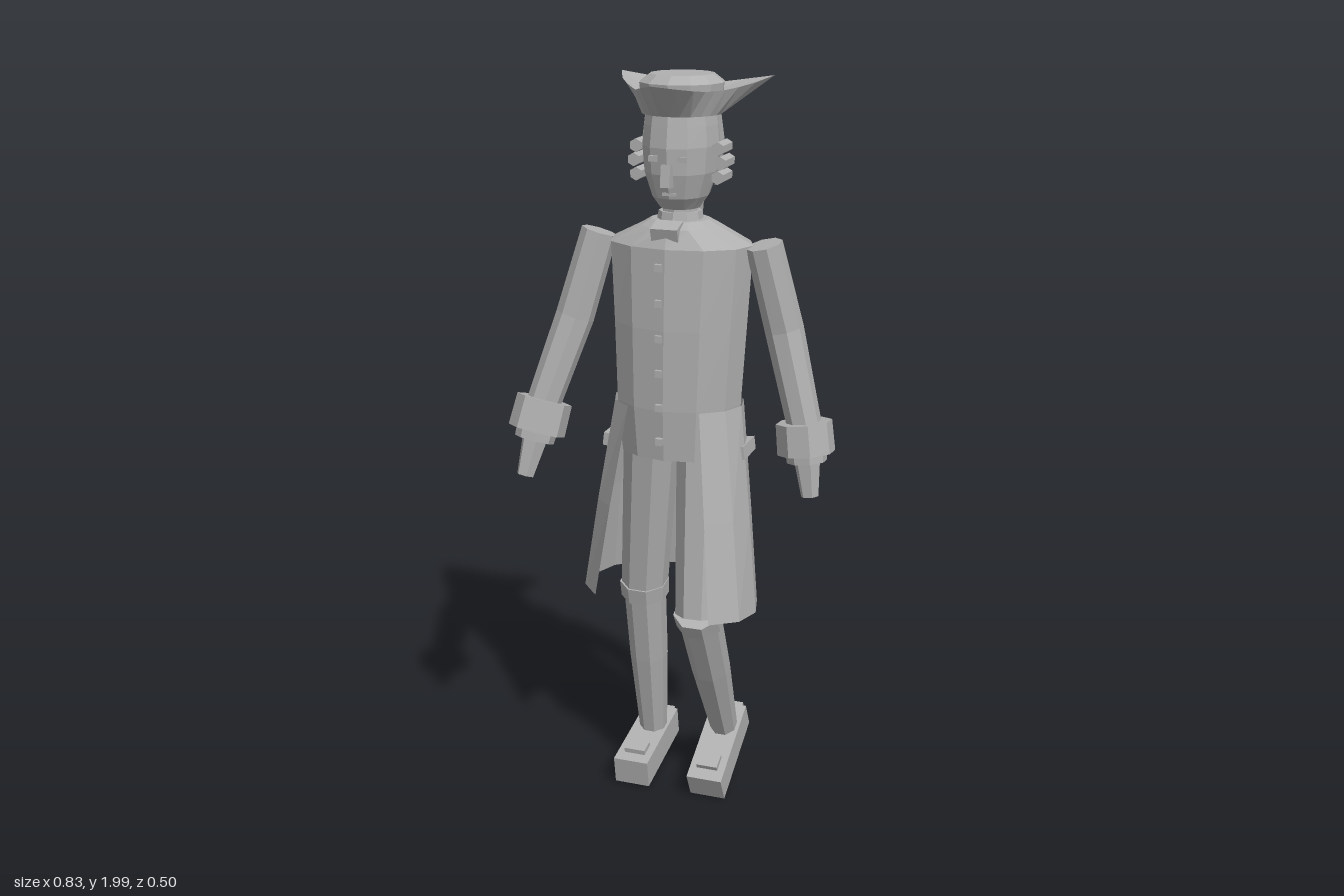
import * as THREE from 'three';

const V = (x, y, z) => new THREE.Vector3(x, y, z);
const grey = new THREE.MeshStandardMaterial({ color: 0xb0b0b0, side: THREE.DoubleSide });
grey.name = 'grey';

// Faceted mesh with one normal per face
function part(name, geometry, parent) {
  const g = geometry.index ? geometry.toNonIndexed() : geometry;
  g.computeVertexNormals();
  const mesh = new THREE.Mesh(g, grey);
  mesh.name = name;
  parent.add(mesh);
  return mesh;
}

function box(name, parent, size, pos, rot = [0, 0, 0]) {
  const mesh = part(name, new THREE.BoxGeometry(...size), parent);
  mesh.position.set(...pos);
  mesh.rotation.set(...rot);
  return mesh;
}

// Skin through cross-sections listed from bottom to top
function loft(rings, closed = true, caps = true) {
  const n = rings[0].length, pos = [], idx = [];
  rings.forEach(r => r.forEach(p => pos.push(p.x, p.y, p.z)));
  for (let i = 0; i < rings.length - 1; i++) {
    for (let j = 0; j < (closed ? n : n - 1); j++) {
      const k = (j + 1) % n, a = i * n, b = a + n;
      idx.push(a + j, a + k, b + k, a + j, b + k, b + j);
    }
  }
  if (caps) {
    const top = (rings.length - 1) * n;
    for (let j = 1; j < n - 1; j++) {
      idx.push(0, j + 1, j, top, top + j, top + j + 1);
    }
  }
  const g = new THREE.BufferGeometry();
  g.setAttribute('position', new THREE.Float32BufferAttribute(pos, 3));
  g.setIndex(idx);
  return g;
}

// Horizontal oval section, or an arc of one
function oval(y, rx, rz, cx, cz, n = 12, from = 0, sweep = Math.PI * 2) {
  const full = sweep > 6.28;
  return Array.from({ length: full ? n : n + 1 }, (_, j) => {
    const a = from + (j / n) * sweep;
    return V(cx + rx * Math.sin(a), y, cz + rz * Math.cos(a));
  });
}

// Tapered, bent limb along points from bottom to top
function limb(points, radii, sides = 8) {
  return loft(points.map((p, i) => {
    const a = points[Math.max(i - 1, 0)], b = points[Math.min(i + 1, points.length - 1)];
    const q = new THREE.Quaternion().setFromUnitVectors(V(0, 1, 0), b.clone().sub(a).normalize());
    return Array.from({ length: sides }, (_, j) => {
      const t = ((j + 0.5) / sides) * Math.PI * 2;
      return V(Math.sin(t) * radii[i], 0, Math.cos(t) * radii[i]).applyQuaternion(q).add(p);
    });
  }));
}

function buildArm(name, shoulder, elbow, wrist, hand, parent) {
  const arm = new THREE.Group();
  arm.name = name;
  parent.add(arm);
  part('sleeve', limb([wrist, elbow, shoulder], [0.045, 0.05, 0.047]), arm);
  const along = t => wrist.clone().lerp(hand, t);
  part('cuff', limb([along(0.4), along(-0.02)], [0.075, 0.073]), arm);
  part('shirtCuff', limb([along(0.52), along(0.3)], [0.052, 0.055]), arm);
  part('hand', limb([hand, along(0.45)], [0.023, 0.036], 6), arm);
}

function buildLeg(name, hip, knee, ankle, shoe, tilt, parent) {
  const leg = new THREE.Group();
  leg.name = name;
  parent.add(leg);
  part('breeches', limb([knee, hip], [0.064, 0.075]), leg);
  const down = t => knee.clone().lerp(ankle, t);
  part('kneeBand', limb([down(0.06), down(-0.03)], [0.066, 0.068]), leg);
  part('stocking', limb([ankle, down(0.45), down(0)], [0.038, 0.053, 0.058]), leg);
  const foot = new THREE.Group();
  foot.name = 'shoe';
  foot.position.copy(shoe);
  foot.rotation.x = tilt;
  leg.add(foot);
  box('shoeBody', foot, [0.1, 0.08, 0.265], [0, 0, 0]);
  box('heelTab', foot, [0.075, 0.035, 0.03], [0, 0.02, -0.13]);
  box('buckle', foot, [0.06, 0.018, 0.045], [0, 0.045, 0.075]);
}

export function createModel() {
  const model = new THREE.Group();
  model.name = 'figure';

  // Torso and sloping shoulders
  part('torso', loft([
    oval(1.035, 0.155, 0.118, 0.003, 0), oval(1.17, 0.168, 0.126, 0.004, 0.002),
    oval(1.38, 0.178, 0.13, 0.008, 0.002), oval(1.585, 0.19, 0.124, 0.01, 0.003),
    oval(1.63, 0.1, 0.1, 0.01, 0.008), oval(1.645, 0.075, 0.07, 0.01, 0.008)]), model);
  [1.54, 1.45, 1.36, 1.27, 1.18, 1.09].forEach(y =>
    box('button', model, [0.018, 0.018, 0.014], [-0.005, y, 0.131]));

  // Coat skirt, open in front, as flaring x-z sections
  const hem = [[0.155, 0.21], [0.22, 0.15], [0.238, 0.06], [0.215, -0.03], [0.13, -0.13], [0.02, -0.185],
    [-0.08, -0.212], [-0.17, -0.19], [-0.235, -0.135], [-0.268, -0.05], [-0.262, 0.02], [-0.2, 0.1]];
  const skirtRing = (t, y) => hem.map(([x, z], j) => {
    const a = 0.56 + (j / (hem.length - 1)) * (Math.PI * 2 - 1.18);
    const wx = 0.004 + 0.174 * Math.sin(a), wz = 0.002 + 0.132 * Math.cos(a);
    return V(wx + (x - wx) * t, y + (z > 0 ? 0.1 * z * t : 0), wz + (z - wz) * t);
  });
  part('coatSkirt', loft([skirtRing(1, 0.615), skirtRing(0.55, 0.88), skirtRing(0, 1.17)], false, false), model);
  for (const s of [1, -1]) {
    box('pocketFlap', model, [0.02, 0.035, 0.1], [s * 0.184, 1.05, -0.01], [0, 0, s * 0.12]);
  }

  // Limbs in a walking pose
  buildArm('leftArm', V(0.228, 1.59, 0.005), V(0.275, 1.37, -0.03), V(0.335, 1.13, -0.02), V(0.36, 0.94, -0.002), model);
  buildArm('rightArm', V(-0.205, 1.6, 0.015), V(-0.265, 1.38, 0.045), V(-0.332, 1.16, 0.105), V(-0.366, 0.97, 0.165), model);
  buildLeg('leftLeg', V(0.08, 1.1, 0.01), V(0.09, 0.605, 0.085), V(0.094, 0.16, -0.135), V(0.09, 0.109, -0.095), 0.47, model);
  buildLeg('rightLeg', V(-0.07, 1.1, 0), V(-0.117, 0.605, -0.06), V(-0.125, 0.1, -0.15), V(-0.13, 0.08, -0.105), 0.17, model);

  // Neck and neckcloth
  part('neck', loft([oval(1.62, 0.05, 0.05, 0.01, 0.008, 8), oval(1.7, 0.045, 0.048, 0.01, 0.008, 8)]), model);
  part('collar', loft([oval(1.635, 0.06, 0.062, 0.01, 0.008, 10), oval(1.665, 0.054, 0.056, 0.01, 0.008, 10)]), model);
  box('neckcloth', model, [0.07, 0.045, 0.05], [0.005, 1.62, 0.092], [0.3, 0, 0]);

  // Head and face
  const head = new THREE.Group();
  head.name = 'head';
  model.add(head);
  part('skull', loft([[1.675, 0.05, 0.055, 0.018], [1.705, 0.07, 0.09, 0.013], [1.765, 0.09, 0.113, 0.008],
    [1.83, 0.096, 0.119, 0.006], [1.88, 0.092, 0.111, 0.006], [1.92, 0.085, 0.1, 0.01]]
    .map(([y, rx, rz, z]) => oval(y, rx, rz, 0.014, z))), head);
  box('nose', head, [0.024, 0.055, 0.03], [0.016, 1.765, 0.125], [-0.15, 0, 0]);
  box('mouth', head, [0.035, 0.008, 0.01], [0.014, 1.718, 0.102]);
  for (const s of [1, -1]) {
    box('eye', head, [0.022, 0.014, 0.01], [0.014 + s * 0.037, 1.805, 0.116]);
    // Stacked side curls
    [1.825, 1.79, 1.755].forEach((y, i) => {
      const curl = part('sideCurl', new THREE.CylinderGeometry(0.017, 0.017, 0.075, 6), head);
      curl.rotation.x = Math.PI / 2;
      curl.position.set(0.014 + s * (0.106 + (i === 1 ? 0.006 : 0)), y, 0.014);
    });
  }

  // Hair shell over the back of the head, with a tied tail
  part('hair', loft([[1.73, 0.086, 0.106], [1.78, 0.098, 0.12], [1.84, 0.102, 0.125], [1.91, 0.093, 0.11]]
    .map(([y, rx, rz]) => oval(y, rx, rz, 0.014, 0.006, 8, 1.5, 3.28)), false, false), head);
  part('hairTail', limb([V(0.014, 1.6, -0.12), V(0.014, 1.67, -0.11), V(0.014, 1.76, -0.09)], [0.01, 0.019, 0.016], 6), head);
  box('hairBow', head, [0.05, 0.02, 0.025], [0.014, 1.73, -0.1]);

  // Three-pointed hat: low crown and upturned brim
  const hat = new THREE.Group();
  hat.name = 'hat';
  model.add(hat);
  part('crown', loft([oval(1.905, 0.098, 0.1, 0.017, 0.016), oval(1.98, 0.106, 0.106, 0.017, 0.016),
    oval(2, 0.08, 0.082, 0.017, 0.016)]), hat);
  const sides = 24;
  const edge = Array.from({ length: sides }, (_, j) => {
    const d = Math.min(j % 8, 8 - j % 8) / 4;
    const point = Math.pow(1 - d, 2.2), a = (j / sides) * Math.PI * 2;
    const r = 0.12 + 0.112 * point;
    return V(0.017 + r * Math.sin(a), 1.965 + 0.025 * point, 0.016 + r * Math.cos(a));
  });
  part('brim', loft([oval(1.905, 0.1, 0.1, 0.017, 0.016, sides), edge,
    oval(1.95, 0.102, 0.102, 0.017, 0.016, sides)], true, false), hat);

  return model;
}
